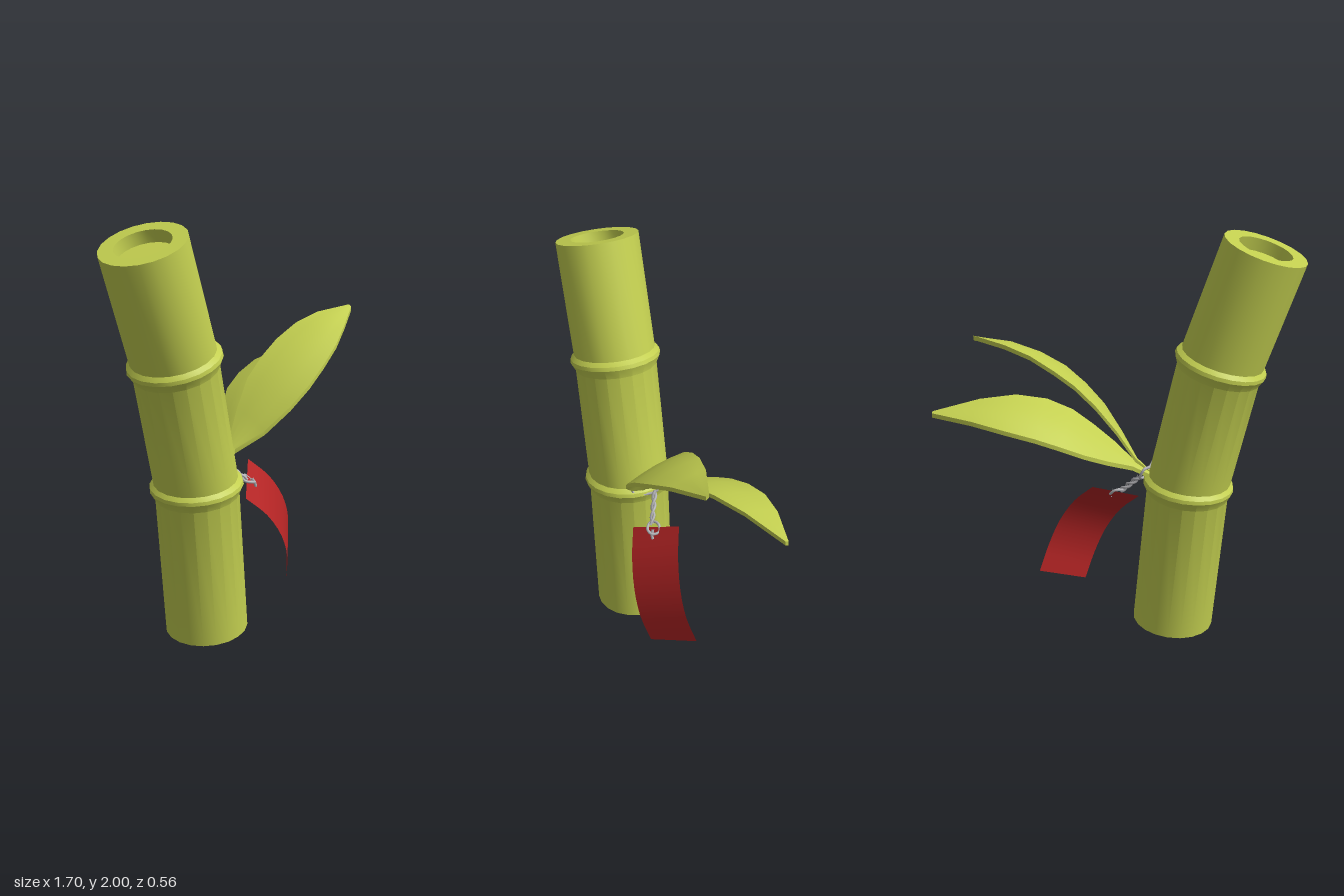
import * as THREE from 'three';
import { toCreasedNormals } from 'three/addons/utils/BufferGeometryUtils.js';

const green = new THREE.MeshStandardMaterial({ name: 'stalk green', color: 0xc3cf50 });
const red = new THREE.MeshStandardMaterial({ name: 'tag red', color: 0xb32424, side: THREE.DoubleSide });
const silver = new THREE.MeshStandardMaterial({ name: 'wire silver', color: 0xb4b4b8 });

const V = (x, y, z) => new THREE.Vector3(x, y, z);

function part(name, geometry, material) {
  const mesh = new THREE.Mesh(geometry, material);
  mesh.name = name;
  return mesh;
}

// Stalk: a lathe with recessed ends and two ridged joints, bent along its spine.
function stalkGeometry() {
  // distance along stalk, centre x, centre y, lean
  const spine = [
    [0, -0.278, 0.015, 0.076],
    [0.755, -0.342, 0.765, 0.1],
    [1.395, -0.48, 1.39, 0.258],
    [1.975, -0.665, 1.94, 0.315],
  ];
  const end = spine[3][0];
  const r = 0.197, hole = 0.128;
  const joint = (s) => [[r, s - 0.05], [0.219, s - 0.006], [0.216, s + 0.012], [r, s + 0.03]];
  const profile = [
    [0, 0.06], [hole, 0.06], [hole, 0], [r, 0],
    ...joint(spine[1][0]), ...joint(spine[2][0]),
    [r, end], [hole, end], [hole, end - 0.06], [0, end - 0.06],
  ].map(([x, y]) => new THREE.Vector2(x, y));
  const geo = new THREE.LatheGeometry(profile, 20);
  const pos = geo.attributes.position;
  for (let i = 0; i < pos.count; i++) {
    const x = pos.getX(i), s = pos.getY(i), z = pos.getZ(i);
    const k = s < spine[1][0] ? 0 : s < spine[2][0] ? 1 : 2;
    const a = spine[k], b = spine[k + 1];
    const t = (s - a[0]) / (b[0] - a[0]);
    const [, cx, cy, lean] = a.map((v, n) => v + (b[n] - v) * t);
    pos.setXYZ(i, cx + x * Math.cos(lean), cy + x * Math.sin(lean), z + 0.03);
  }
  return toCreasedNormals(geo, 0.5);
}

// Leaf: slightly domed blade lofted through stations [x, front z, front y, back z, back y].
function leafGeometry(stations) {
  const across = 5, thick = 0.022, ring = across * 2;
  const verts = [], index = [];
  for (const [x, fz, fy, bz, by] of stations) {
    for (let j = 0; j < ring; j++) {
      const under = j >= across;
      const t = (under ? ring - 1 - j : j) / (across - 1);
      const dome = Math.sin(Math.PI * t) * Math.abs(fz - bz) * 0.06;
      verts.push(x, fy + (by - fy) * t + dome - (under ? thick : 0), fz + (bz - fz) * t);
    }
  }
  const last = (stations.length - 1) * ring;
  for (let i = 0; i < last; i += ring) {
    for (let j = 0; j < ring; j++) {
      const a = i + j, b = i + ((j + 1) % ring);
      index.push(a, a + ring, b, a + ring, b + ring, b);
    }
  }
  for (let j = 1; j < ring - 1; j++) {
    index.push(0, j, j + 1, last, last + j + 1, last + j);
  }
  const geo = new THREE.BufferGeometry();
  geo.setAttribute('position', new THREE.Float32BufferAttribute(verts, 3));
  geo.setIndex(index);
  return toCreasedNormals(geo, 0.7);
}

// Tag: a rectangular sheet curved along its length.
function tagGeometry() {
  const edge = new THREE.CatmullRomCurve3([
    V(-0.09, 0.635, 0.12), V(0.01, 0.53, 0.172), V(0.092, 0.4, 0.198),
    V(0.148, 0.265, 0.192), V(0.19, 0.13, 0.155),
  ]);
  const side = V(0.205, 0.105, -0.152);
  const geo = new THREE.PlaneGeometry(1, 1, 1, 12);
  const pos = geo.attributes.position;
  for (let i = 0; i < pos.count; i++) {
    const p = edge.getPoint(0.5 - pos.getY(i)).addScaledVector(side, pos.getX(i) + 0.5);
    pos.setXYZ(i, p.x, p.y, p.z);
  }
  geo.computeVertexNormals();
  return geo;
}

const wireTube = (points, closed = false) =>
  new THREE.TubeGeometry(new THREE.CatmullRomCurve3(points, closed), 40, 0.007, 6, closed);

export function createModel() {
  const model = new THREE.Group();
  model.name = 'bambooStalk';
  model.add(part('stalk', stalkGeometry(), green));

  // Leaves
  model.add(part('frontLeaf', leafGeometry([
    [-0.16, 0.045, 0.81, 0.02, 0.82],
    [-0.09, 0.055, 0.87, 0.01, 0.885],
    [0, 0.16, 0.96, -0.01, 1.03],
    [0.1, 0.235, 1.07, -0.025, 1.16],
    [0.2, 0.27, 1.16, -0.015, 1.25],
    [0.3, 0.28, 1.24, -0.005, 1.315],
    [0.42, 0.265, 1.31, 0.02, 1.375],
    [0.55, 0.22, 1.37, 0.055, 1.41],
    [0.72, 0.14, 1.415, 0.125, 1.425],
  ]), green));
  model.add(part('backLeaf', leafGeometry([
    [-0.16, 0.03, 0.815, 0.005, 0.81],
    [-0.08, 0.02, 0.875, -0.025, 0.86],
    [0.02, 0.03, 0.965, -0.12, 0.92],
    [0.12, 0.04, 1.04, -0.2, 0.98],
    [0.22, 0.04, 1.11, -0.25, 1.035],
    [0.34, 0.02, 1.165, -0.275, 1.08],
    [0.48, -0.025, 1.195, -0.285, 1.115],
    [0.64, -0.095, 1.19, -0.26, 1.14],
    [0.845, -0.185, 1.15, -0.2, 1.145],
  ]), green));

  model.add(part('tag', tagGeometry(), red));

  // Wire: a loop round the leaf stems, two twisted strands and a loop through the tag
  const wire = new THREE.Group();
  wire.name = 'wire';
  wire.add(part('stemLoop', wireTube([
    V(-0.165, 0.85, 0.085), V(-0.15, 0.8, 0.09), V(-0.13, 0.785, 0.03),
    V(-0.115, 0.805, -0.025), V(-0.135, 0.85, -0.03), V(-0.155, 0.84, 0.03),
  ], true), silver));
  const from = V(-0.115, 0.805, -0.01), to = V(-0.01, 0.69, 0.055);
  for (const phase of [0, Math.PI]) {
    const strand = [];
    for (let i = 0; i <= 12; i++) {
      const a = phase + i * 0.9;
      strand.push(from.clone().lerp(to, i / 12)
        .add(V(Math.cos(a) * 0.006, Math.cos(a) * 0.006, Math.sin(a) * 0.008)));
    }
    wire.add(part('strand', wireTube(strand), silver));
  }
  wire.add(part('tagLoop', wireTube([
    V(-0.025, 0.69, 0.06), V(0.005, 0.68, 0.085), V(0.035, 0.67, 0.075),
    V(0.04, 0.675, 0.04), V(0.015, 0.7, 0.03), V(-0.015, 0.7, 0.04),
  ], true), silver));
  wire.add(part('wireTail', wireTube([
    V(0.025, 0.69, 0.065), V(0.035, 0.665, 0.075), V(0.042, 0.645, 0.075),
  ]), silver));
  model.add(wire);
  return model;
}
